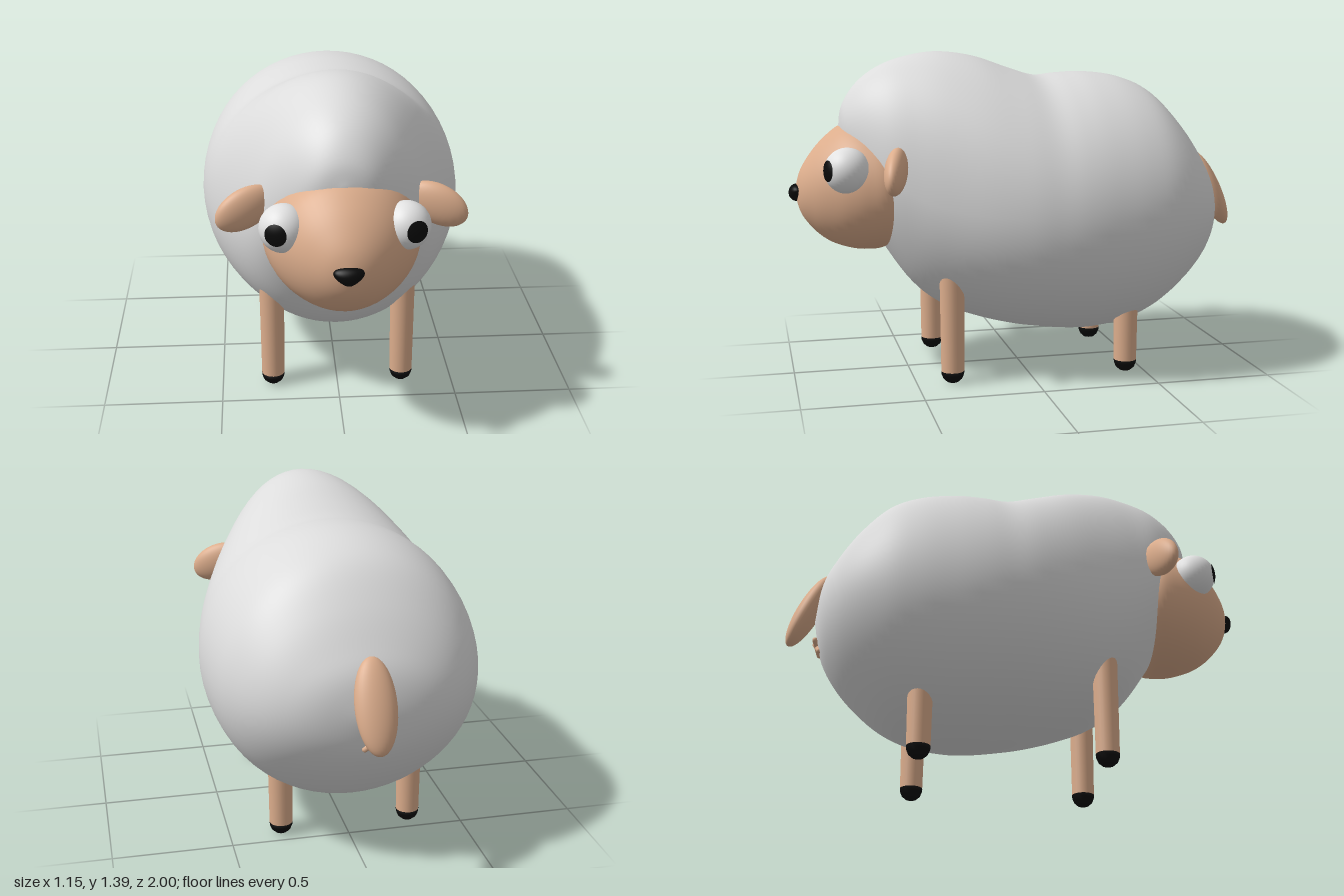
import * as THREE from 'three';
import { mergeVertices } from 'three/addons/utils/BufferGeometryUtils.js';

const material = (name, color) => {
  const m = new THREE.MeshStandardMaterial({ color });
  m.name = name;
  return m;
};

// Smooth loft from front to back; each section is [z, top, bottom, halfWidth, widestHeight]
function loft(sections, rings, sides) {
  const heights = new THREE.CatmullRomCurve3(
    sections.map(([z, top, bottom]) => new THREE.Vector3(z, top, bottom)), false, 'catmullrom');
  const widths = new THREE.CatmullRomCurve3(
    sections.map((s) => new THREE.Vector3(s[3], s[4], 0)), false, 'catmullrom');
  const positions = [];
  const index = [];
  for (let i = 0; i <= rings; i++) {
    const { x: z, y: top, z: bottom } = heights.getPoint(i / rings);
    const { x: w, y: mid } = widths.getPoint(i / rings);
    for (let j = 0; j < sides; j++) {
      const a = (j / sides) * Math.PI * 2;
      const s = Math.sin(a);
      positions.push(w * Math.cos(a), mid + s * (s > 0 ? top - mid : mid - bottom), z);
      if (i === rings) continue;
      const p = i * sides + j;
      const q = i * sides + ((j + 1) % sides);
      index.push(p, p + sides, q, p + sides, q + sides, q);
    }
  }
  let g = new THREE.BufferGeometry();
  g.setAttribute('position', new THREE.Float32BufferAttribute(positions, 3));
  g.setIndex(index);
  g = mergeVertices(g, 1e-5);
  g.computeVertexNormals();
  return g;
}

export function createModel() {
  const wool = material('wool', 0xdcdcdc);
  const skin = material('skin', 0xdcad8c);
  const white = material('eye white', 0xe2e2e2);
  const black = material('black', 0x0a0a0a);

  const model = new THREE.Group();
  model.name = 'sheep';
  const add = (name, geometry, mat, x = 0, y = 0, z = 0, parent = model) => {
    const mesh = new THREE.Mesh(geometry, mat);
    mesh.name = name;
    mesh.position.set(x, y, z);
    parent.add(mesh);
    return mesh;
  };

  // Woolly body with two humps
  add('body', loft([
    [0.785, 1.07, 1.07, 0, 1.07],
    [0.765, 1.17, 0.93, 0.11, 1.06],
    [0.70, 1.265, 0.74, 0.21, 0.98],
    [0.60, 1.335, 0.56, 0.31, 0.88],
    [0.48, 1.375, 0.39, 0.38, 0.80],
    [0.35, 1.39, 0.285, 0.44, 0.76],
    [0.20, 1.37, 0.225, 0.50, 0.74],
    [0.05, 1.32, 0.185, 0.545, 0.73],
    [-0.07, 1.285, 0.165, 0.565, 0.72],
    [-0.18, 1.293, 0.152, 0.575, 0.72],
    [-0.30, 1.297, 0.15, 0.572, 0.72],
    [-0.45, 1.275, 0.175, 0.555, 0.72],
    [-0.58, 1.215, 0.235, 0.52, 0.72],
    [-0.70, 1.09, 0.335, 0.45, 0.71],
    [-0.79, 0.96, 0.44, 0.35, 0.70],
    [-0.85, 0.85, 0.55, 0.21, 0.70],
    [-0.88, 0.70, 0.70, 0, 0.70],
  ], 80, 64), wool);

  // Head, sunk into the front of the body
  add('head', loft([
    [0.975, 0.80, 0.80, 0, 0.80],
    [0.95, 0.89, 0.71, 0.085, 0.80],
    [0.90, 0.97, 0.64, 0.16, 0.81],
    [0.84, 1.035, 0.59, 0.22, 0.82],
    [0.77, 1.085, 0.56, 0.27, 0.82],
    [0.69, 1.10, 0.545, 0.302, 0.82],
    [0.60, 1.08, 0.555, 0.312, 0.82],
    [0.54, 1.00, 0.62, 0.25, 0.82],
    [0.50, 0.82, 0.82, 0, 0.82],
  ], 48, 48), skin);

  // Nose: rounded triangle, narrow at the bottom
  const nose = new THREE.SphereGeometry(1, 32, 24);
  const p = nose.attributes.position;
  for (let i = 0; i < p.count; i++) {
    p.setX(i, p.getX(i) * (1 + 0.45 * p.getY(i)));
  }
  nose.scale(0.054, 0.037, 0.035);
  nose.computeVertexNormals();
  add('nose', nose, black, 0, 0.797, 0.965);

  const legGeometry = (height) => new THREE.CylinderGeometry(0.053, 0.049, height, 24);
  const hoofGeometry = new THREE.LatheGeometry(
    [[0, 0], [0.024, 0.002], [0.04, 0.016], [0.048, 0.035], [0.0495, 0.05], [0, 0.05]]
      .map(([x, y]) => new THREE.Vector2(x, y)), 24);

  for (const [label, s] of [['left', 1], ['right', -1]]) {
    // Bulging eye with a pupil cap turned slightly outwards
    const eye = new THREE.Group();
    eye.name = label + 'Eye';
    eye.position.set(s * 0.235, 0.915, 0.77);
    model.add(eye);
    add('eyeball', new THREE.SphereGeometry(0.095, 32, 24), white, 0, 0, 0, eye);
    const pupil = add('pupil',
      new THREE.SphereGeometry(0.0975, 28, 8, 0, Math.PI * 2, 0, 0.47), black, 0, 0, 0, eye);
    pupil.quaternion.setFromUnitVectors(
      new THREE.Vector3(0, 1, 0), new THREE.Vector3(s * 0.36, 0.05, 0.93).normalize());

    // Drooping ear
    const ear = add(label + 'Ear',
      new THREE.SphereGeometry(1, 32, 24).scale(0.13, 0.083, 0.045), skin, s * 0.38, 0.924, 0.588);
    ear.rotation.set(0, -s * 0.3, -s * 0.42);

    // Legs and hooves
    for (const [end, z, top] of [['Front', 0.347, 0.5], ['Rear', -0.422, 0.38]]) {
      add(label + end + 'Leg', legGeometry(top - 0.05), skin, s * 0.28, (top + 0.05) / 2, z);
      add(label + end + 'Hoof', hoofGeometry, black, s * 0.28, 0, z);
    }
  }

  // Hanging tail
  const tail = add('tail',
    new THREE.SphereGeometry(1, 32, 24).scale(0.083, 0.19, 0.05), skin, 0, 0.755, -0.907);
  tail.rotation.x = 0.45;

  // Small crossed crease under the tail
  const crease = new THREE.Group();
  crease.name = 'rearCrease';
  crease.position.set(0, 0.58, -0.862);
  crease.rotation.x = -0.4;
  model.add(crease);
  for (const s of [1, -1]) {
    add('creaseFold', new THREE.CapsuleGeometry(0.012, 0.075, 6, 12), skin, 0, 0, 0, crease)
      .rotation.z = s * Math.PI / 4;
  }
  return model;
}
